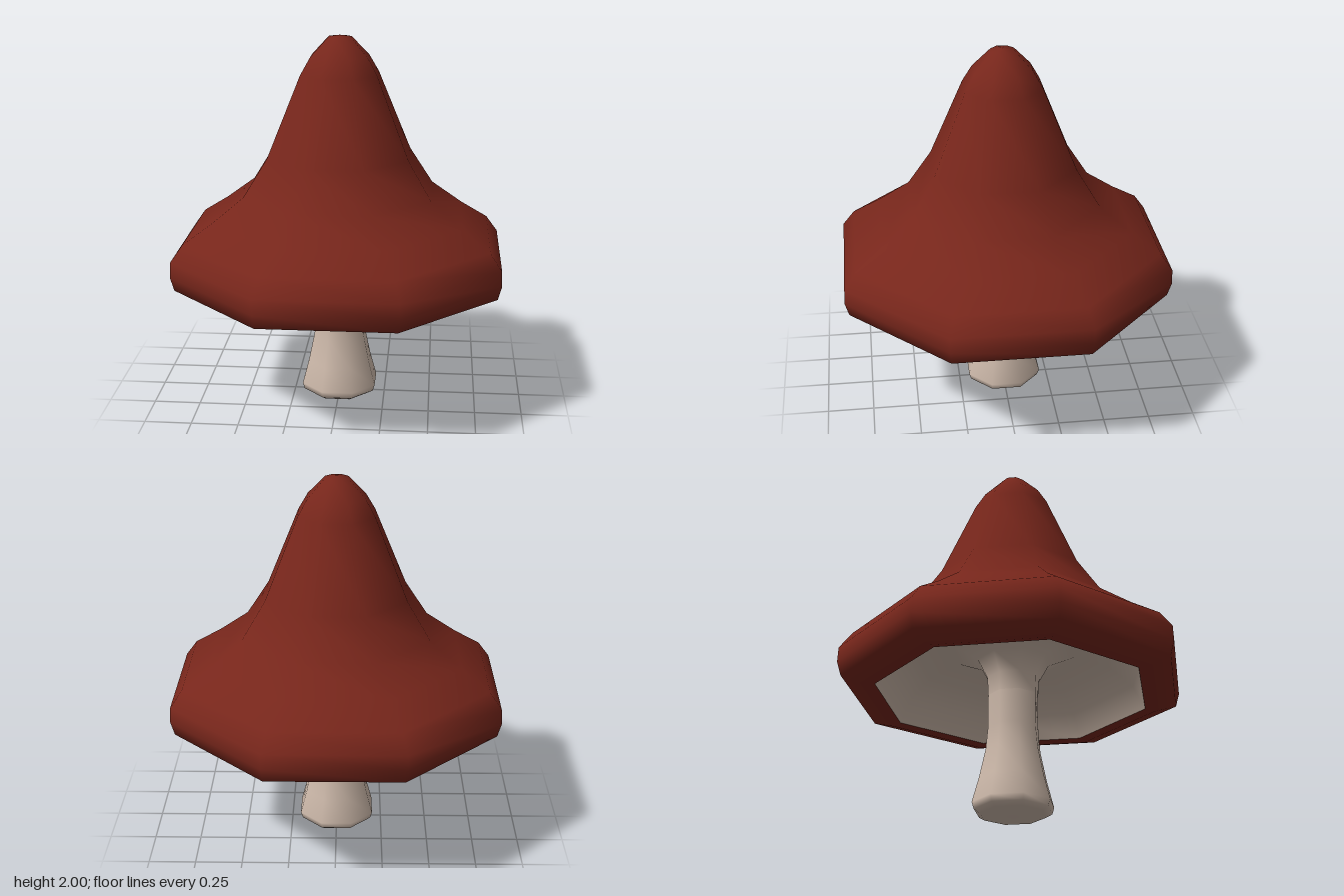
import * as THREE from 'three';

const SIDES = 8;
const TURN = Math.PI / SIDES;

// Eight-sided lathe with flats facing front and sides; profile holds [half width across flats, height]
function turned(name, profile, material) {
  const points = profile.map(([w, y]) => new THREE.Vector2(w / Math.cos(TURN), y));
  const mesh = new THREE.Mesh(new THREE.LatheGeometry(points, SIDES, TURN), material);
  mesh.name = name;
  return mesh;
}

export function createModel() {
  const red = new THREE.MeshStandardMaterial({ color: 0x77261b });
  red.name = 'cap red';
  const cream = new THREE.MeshStandardMaterial({ color: 0xcdb9aa });
  cream.name = 'stem cream';

  const mushroom = new THREE.Group();
  mushroom.name = 'mushroom';

  // Cap: lip, rounded rim, flared skirt and tall bell
  mushroom.add(turned('cap', [
    [0.68, 0.665], [0.73, 0.655], [0.845, 0.695], [0.865, 0.77], [0.862, 0.85],
    [0.80, 0.94], [0.655, 1.04], [0.492, 1.17], [0.37, 1.37], [0.20, 1.80],
    [0.15, 1.89], [0.06, 1.99], [0, 2.0],
  ], red));

  // Hollow underside: flares out of the stem, then drops steeply to the lip
  mushroom.add(turned('underside', [
    [0.125, 0.66], [0.13, 0.76], [0.18, 0.86], [0.32, 0.93],
    [0.50, 0.89], [0.62, 0.79], [0.68, 0.665],
  ], cream));

  // Stem with a swollen foot
  mushroom.add(turned('stem', [
    [0, 0.005], [0.16, 0.015], [0.19, 0.035], [0.2, 0.07], [0.167, 0.2],
    [0.135, 0.36], [0.125, 0.48], [0.125, 0.66],
  ], cream));

  return mushroom;
}
